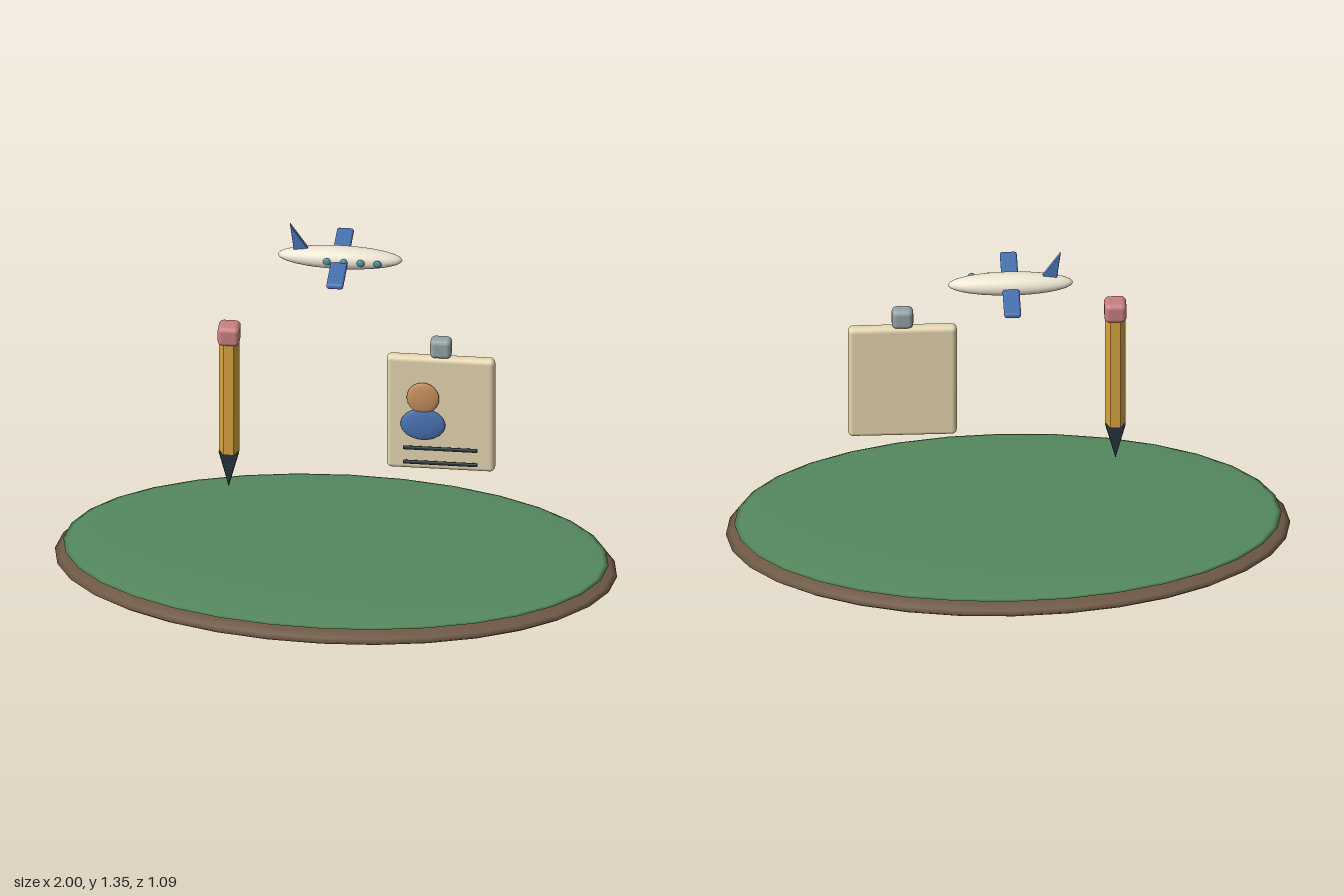
import * as THREE from 'three';
import { RoundedBoxGeometry } from 'three/addons/geometries/RoundedBoxGeometry.js';

const mat = (color, flatShading = false) => new THREE.MeshStandardMaterial({ color, flatShading });
const MATS = {
  soil: mat(0x6e5844), grass: mat(0x55895f), gold: mat(0xd9a441, true), graphite: mat(0x26343a),
  eraser: mat(0xc97f80), card: mat(0xe6d7b0), metal: mat(0x96a3a6), skin: mat(0xc8935f),
  blue: mat(0x4a74b4), hull: mat(0xeee6d2), glass: mat(0x4a8f9f),
};

function add(parent, name, geometry, material, x, y, z) {
  const mesh = new THREE.Mesh(geometry, material);
  mesh.name = name;
  mesh.position.set(x, y, z);
  parent.add(mesh);
  return mesh;
}

function subgroup(parent, name, x, y, z) {
  const g = new THREE.Group();
  g.name = name;
  g.position.set(x, y, z);
  parent.add(g);
  return g;
}

const ellipsoid = (rx, ry, rz, seg = 32, rings = 16) =>
  new THREE.SphereGeometry(1, seg, rings).scale(rx, ry, rz);

const roundedBox = (w, h, d, r) => new RoundedBoxGeometry(w, h, d, 3, r);

// Bevelled flat plate, centred on z, whose outline keeps the given points
function plate(points, depth, bevel) {
  const shape = new THREE.Shape(points.map(([x, y]) => new THREE.Vector2(x, y)));
  const geo = new THREE.ExtrudeGeometry(shape, {
    depth: depth - 2 * bevel, bevelEnabled: true, bevelSize: bevel,
    bevelThickness: bevel, bevelOffset: -bevel, bevelSegments: 2,
  });
  return geo.translate(0, 0, bevel - depth / 2);
}

export function createModel() {
  const model = new THREE.Group();
  model.name = 'floatingIsland';

  // Ground: a soil lens with a thinner grass lens on top
  add(model, 'soil', ellipsoid(1, 0.06, 0.547), MATS.soil, 0, 0.06, 0);
  add(model, 'grass', ellipsoid(0.97, 0.019, 0.525), MATS.grass, 0, 0.104, 0);

  // Pencil: hexagonal shaft, flat wedge tip, rounded eraser
  const pencil = subgroup(model, 'pencil', -0.38, 0, 0);
  const shaft = new THREE.CylinderGeometry(0.036, 0.036, 0.46, 6, 1, false, Math.PI / 6);
  add(pencil, 'shaft', shaft, MATS.gold, 0, 0.73, 0);
  add(pencil, 'tip', plate([[-0.036, 0.502], [0, 0.362], [0.036, 0.502]], 0.043, 0.006),
    MATS.graphite, 0, 0, 0);
  add(pencil, 'eraser', roundedBox(0.078, 0.076, 0.078, 0.018), MATS.eraser, 0, 0.988, 0);

  // Badge: card with clip, portrait and two printed bars
  const badge = subgroup(model, 'badge', 0.374, 0, 0);
  add(badge, 'card', roundedBox(0.385, 0.462, 0.043, 0.018), MATS.card, 0, 0.707, 0.001);
  add(badge, 'clip', roundedBox(0.076, 0.076, 0.054, 0.018), MATS.metal, 0, 0.975, 0);
  add(badge, 'portraitHead', ellipsoid(0.058, 0.063, 0.012), MATS.skin, -0.061, 0.783, 0.038);
  add(badge, 'portraitBody', ellipsoid(0.08, 0.064, 0.013), MATS.blue, -0.061, 0.674, 0.038);
  for (const y of [0.578, 0.519]) {
    add(badge, 'textBar', roundedBox(0.265, 0.013, 0.011, 0.004), MATS.graphite, 0.001, y, 0.043);
  }

  // Airplane: ellipsoid fuselage, one straight wing, swept fin, windows on the front side
  const plane = subgroup(model, 'airplane', 0, 1.224, -0.167);
  add(plane, 'fuselage', ellipsoid(0.222, 0.04, 0.047), MATS.hull, -0.002, 0, 0);
  add(plane, 'wing', roundedBox(0.06, 0.022, 0.394, 0.009), MATS.blue, -0.002, -0.006, 0);
  add(plane, 'tailFin', plate([[-0.165, 0.01], [-0.1, 0.01], [-0.18, 0.128]], 0.016, 0.004),
    MATS.blue, 0, 0, 0);
  for (let i = 0; i < 4; i++) {
    add(plane, 'window', ellipsoid(0.0145, 0.0145, 0.008, 16, 12), MATS.glass,
      -0.045 + i * 0.06, 0.004, 0.043);
  }

  return model;
}
